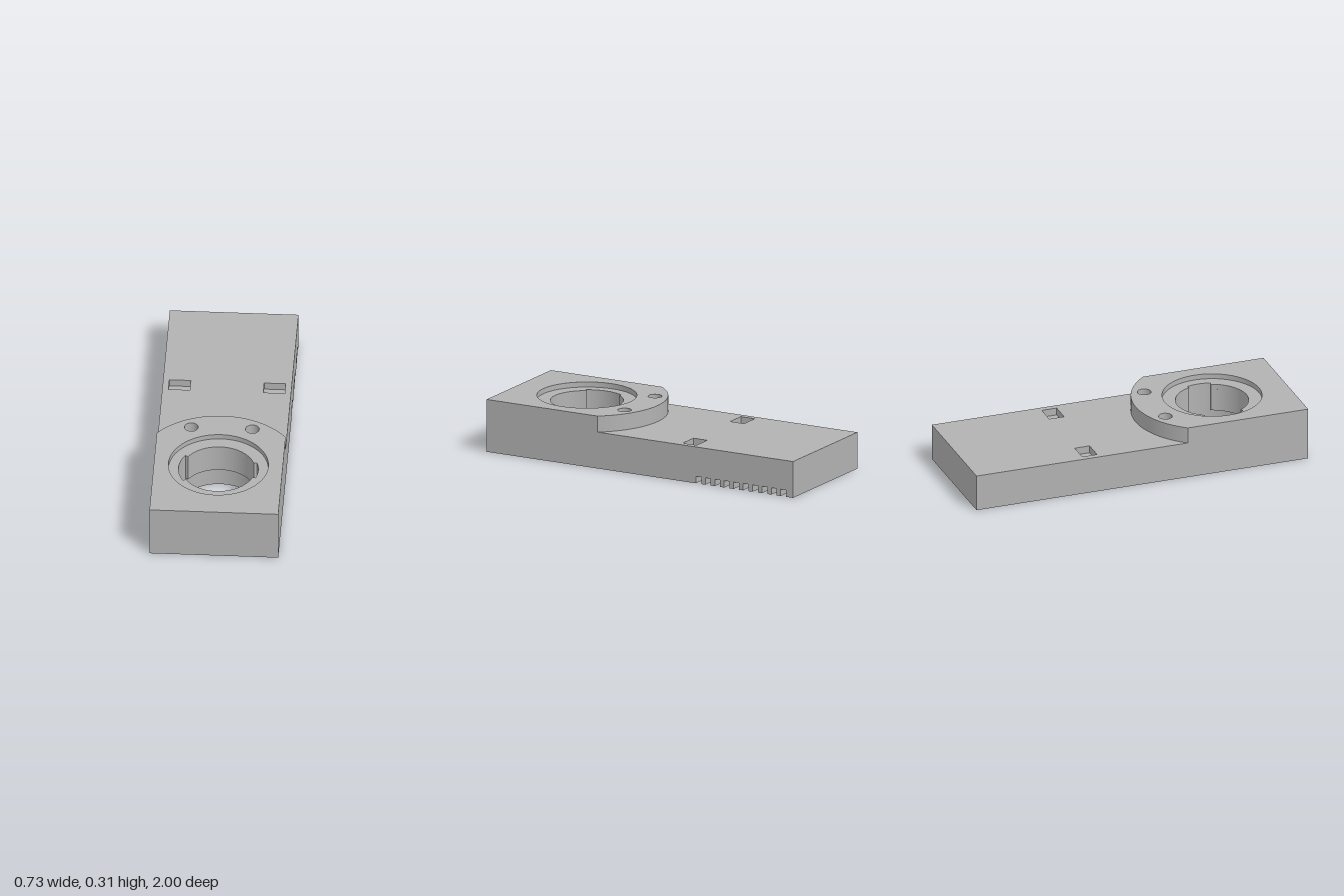
import * as THREE from 'three';
import { toCreasedNormals } from 'three/addons/utils/BufferGeometryUtils.js';

const W = 0.365, L = 1, T = 0.064;          // half width, half length, wall thickness
const CZ = 0.555;                           // z of the socket centre
const CEIL = 0.08, DECK = 0.213, TOP = 0.307;
const LIP = 0.2075, BORE = 0.226, LIP_Y = 0.115;

// Plan outlines use (x, -z), so that extruding goes upward
const rect = (x0, x1, z0, z1, Type = THREE.Path) => new Type([
  [x0, -z1], [x1, -z1], [x1, -z0], [x0, -z0],
].map(p => new THREE.Vector2(...p)));

const circle = (x, z, r, Type = THREE.Path) => new Type().absarc(x, -z, r, 0, Math.PI * 2);

// Round opening with a narrow key slot on the left and a wide one on the right
function keyedHole() {
  const a = 0.32, b = 0.54, P = Math.PI;
  return new THREE.Path()
    .absarc(0, -CZ, BORE, -a, a)
    .absarc(0, -CZ, LIP, a, P - b)
    .absarc(0, -CZ, BORE, P - b, P + b)
    .absarc(0, -CZ, LIP, P + b, 2 * P - a);
}

// Raised plate: square at the front, arc concentric with the socket behind
function raisedOutline() {
  const r = 0.46, a = Math.acos(W / r);
  const s = new THREE.Shape();
  s.moveTo(-W, -L);
  s.lineTo(W, -L);
  s.absarc(0, -CZ, r, a, Math.PI - a);
  return s;
}

export function createModel() {
  const group = new THREE.Group();
  const grey = new THREE.MeshStandardMaterial({ color: 0xb2b2b2 });
  grey.name = 'grey';

  const add = (name, geo) => {
    const mesh = new THREE.Mesh(geo, grey);
    mesh.name = name;
    group.add(mesh);
  };
  const slab = (name, outline, holes, y0, y1) => {
    outline.holes.push(...holes);
    const geo = new THREE.ExtrudeGeometry(outline, { depth: y1 - y0, bevelEnabled: false, curveSegments: 48 });
    geo.rotateX(-Math.PI / 2).translate(0, y0, 0);
    add(name, toCreasedNormals(geo, 0.5));
  };
  const plate = () => rect(-W, W, -L, L, THREE.Shape);

  // Skirt walls around the hollow underside
  slab('frontWall', rect(-W, W, L - T, L, THREE.Shape), [], 0, CEIL);
  slab('backWall', rect(-W, W, -L, -L + T, THREE.Shape), [], 0, CEIL);
  slab('rightWall', rect(-W, -W + T, -L + T, L - T, THREE.Shape), [], 0, CEIL);

  // Left wall with a row of ten slots in its lower edge
  const comb = new THREE.Shape();
  comb.moveTo(-L, CEIL);
  comb.lineTo(-L, 0);
  for (let i = 9; i >= 0; i--) {
    const z1 = -0.366 - i * 0.0615, z0 = z1 - 0.035;
    comb.lineTo(z0, 0);
    comb.lineTo(z0, 0.04);
    comb.lineTo(z1, 0.04);
    comb.lineTo(z1, 0);
  }
  comb.lineTo(L - T, 0);
  comb.lineTo(L - T, CEIL);
  const combGeo = new THREE.ExtrudeGeometry(comb, { depth: T, bevelEnabled: false });
  combGeo.rotateY(-Math.PI / 2).translate(W, 0, 0);
  add('slottedLeftWall', combGeo);
  // Back wall is notched where the last slot cuts through its corner
  group.children.find(m => m.name === 'backWall').geometry.scale(1, 1, 1);
  group.remove(group.getObjectByName('backWall'));
  slab('backWall', rect(-W, W - T, -L, -L + T, THREE.Shape), [], 0, CEIL);

  // Socket tube hanging below the deck
  slab('socketTube', circle(0, CZ, 0.29, THREE.Shape), [circle(0, CZ, BORE)], 0, CEIL);

  // Deck with the bore, the keyed lip above it and two blind pockets
  const pockets = [rect(-0.33, -0.208, -0.35, -0.26), rect(0.208, 0.33, -0.35, -0.26)];
  slab('deckBottom', plate(), [circle(0, CZ, BORE)], CEIL, LIP_Y);
  slab('deckMiddle', plate(), [keyedHole()], LIP_Y, 0.17);
  slab('deckTop', plate(), [keyedHole(), ...pockets], 0.17, DECK);

  // Raised plate with two blind screw holes and a round recess
  const screws = () => [-1, 1].map(s => circle(s * 0.173, 0.21, 0.039));
  slab('raisedBase', raisedOutline(), [keyedHole()], DECK, 0.247);
  slab('raisedMiddle', raisedOutline(), [keyedHole(), ...screws()], 0.247, 0.277);
  slab('raisedTop', raisedOutline(), [circle(0, CZ, 0.283), ...screws()], 0.277, TOP);

  return group;
}
